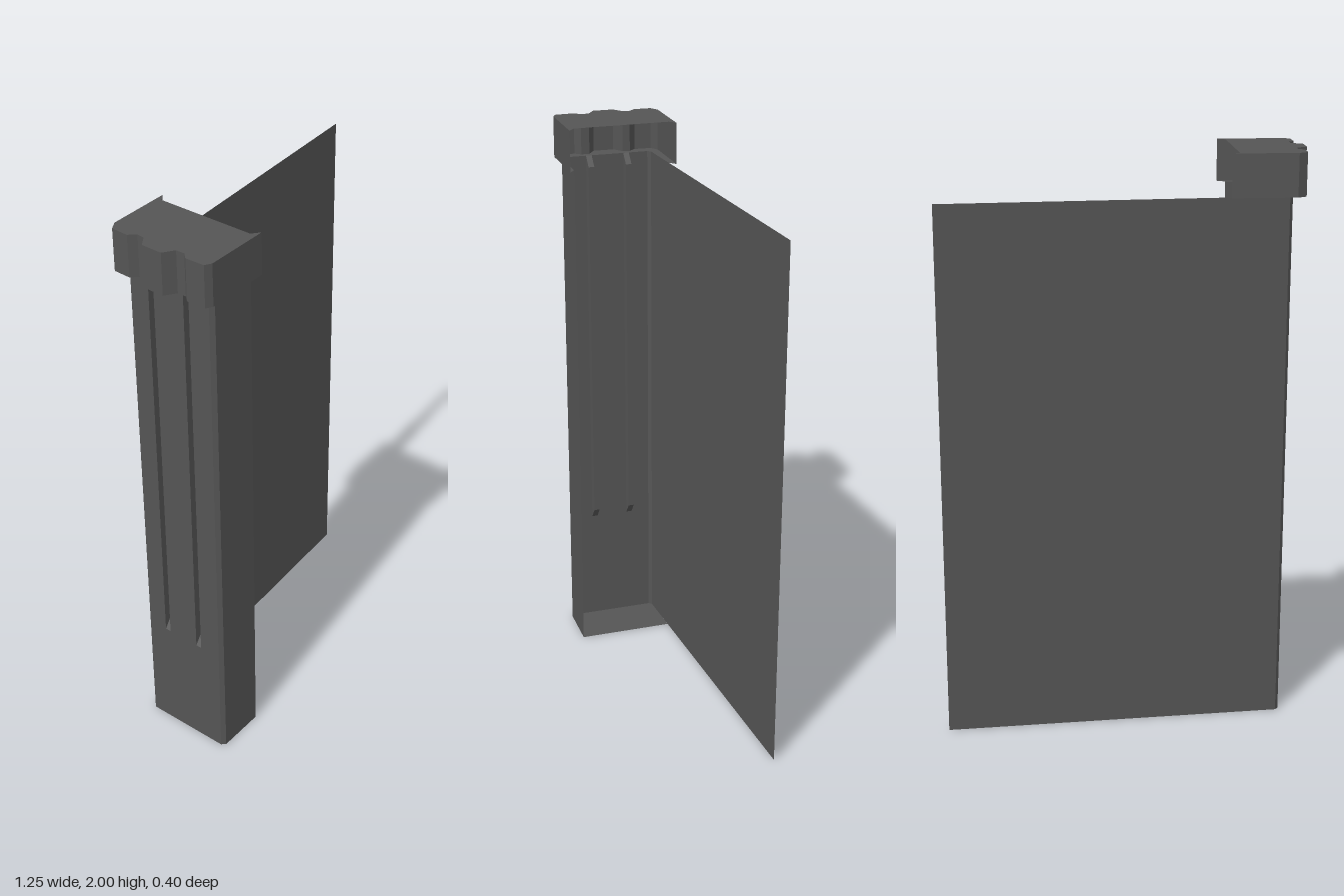
import * as THREE from 'three';

const grey = new THREE.MeshStandardMaterial({ color: 0x555555, side: THREE.DoubleSide });
grey.name = 'dark grey';

const TOP = 1.855, CAP_TOP = 2;

// Thin sheet from a list of four-cornered faces
function quads(name, faces) {
  const pos = [];
  for (const [a, b, c, d] of faces) pos.push(...a, ...b, ...c, ...a, ...c, ...d);
  const geo = new THREE.BufferGeometry();
  geo.setAttribute('position', new THREE.Float32BufferAttribute(pos, 3));
  geo.computeVertexNormals();
  const mesh = new THREE.Mesh(geo, grey);
  mesh.name = name;
  return mesh;
}

// Upright folded sheet along a path of [x, z] points
function wall(name, path, y0, y1) {
  const faces = [];
  for (let i = 0; i + 1 < path.length; i++) {
    const [ax, az] = path[i], [bx, bz] = path[i + 1];
    faces.push([[ax, y0, az], [bx, y0, bz], [bx, y1, bz], [ax, y1, az]]);
  }
  return quads(name, faces);
}

// Flat sheet at height y from an outline of [x, z] points
function plate(name, outline, y) {
  const shape = new THREE.Shape(outline.map(([x, z]) => new THREE.Vector2(x, -z)));
  const geo = new THREE.ShapeGeometry(shape).rotateX(-Math.PI / 2).translate(0, y, 0);
  const mesh = new THREE.Mesh(geo, grey);
  mesh.name = name;
  return mesh;
}

export function createModel() {
  const group = new THREE.Group();
  group.name = 'fluted pilaster';

  // The end wall leans slightly, as the whole piece is turned a little
  const endX = (z) => -0.567 + (0.16 - z) * 0.03;
  const endPoint = (z) => [endX(z), z];
  const endBack = -0.146;
  const frontPath = [[-0.385, 0.179], [-0.555, 0.174], endPoint(0.16)];
  const backCorner = [-0.547, -0.157];

  // Column front and the long, slightly slanted back panel, with chamfered corners
  group.add(wall('columnFront', frontPath, 0, TOP));
  group.add(wall('backPanel', [endPoint(endBack), backCorner, [0.622, -0.2]], 0, TOP));

  // Column floor
  group.add(plate('columnFloor', [...frontPath, endPoint(endBack), backCorner, [-0.375, -0.163]], 0));

  // Column end wall with two pressed-in grooves
  const grooves = [[0.082, 0.061], [-0.056, -0.077]];
  const low = 0.425, depth = 0.03;
  const steps = [[low, 0], [0.465, depth], [1.82, depth], [TOP, 0]];
  let z = 0.16;
  for (const [z0, z1] of grooves) {
    group.add(wall('endWall', [endPoint(z), endPoint(z0)], 0, TOP));
    group.add(wall('endWallBelowGroove', [endPoint(z0), endPoint(z1)], 0, low));
    const faces = [];
    for (let i = 0; i < 3; i++) {
      const [ya, da] = steps[i], [yb, db] = steps[i + 1];
      const p = (zz, y, d) => [endX(zz) + d, y, zz];
      faces.push([p(z0, ya, da), p(z1, ya, da), p(z1, yb, db), p(z0, yb, db)]);
      for (const s of [z0, z1]) {
        faces.push([p(s, ya, 0), p(s, ya, da), p(s, yb, db), p(s, yb, 0)]);
      }
    }
    group.add(quads('groove', faces));
    z = z1;
  }
  group.add(wall('endWall', [endPoint(z), endPoint(endBack)], 0, TOP));

  // Hollow capital: fluted on its outer end, open on its inner side
  const capPath = [
    [-0.349, -0.183], [-0.567, -0.189], [-0.598, -0.172], [-0.602, -0.112],
    [-0.582, -0.088], [-0.585, -0.062], [-0.622, -0.038], [-0.625, 0.035],
    [-0.588, 0.062], [-0.588, 0.092], [-0.608, 0.112], [-0.608, 0.179],
    [-0.586, 0.193], [-0.358, 0.2],
  ];
  group.add(wall('capitalWall', capPath, TOP, CAP_TOP));
  group.add(plate('capitalTop', [...capPath, [-0.384, 0.177], [-0.375, -0.165]], CAP_TOP));

  // Ledge closing the underside between the capital and the column
  group.add(plate('capitalLedge', [...capPath, ...frontPath, endPoint(endBack), backCorner, [-0.375, -0.163]], TOP));

  return group;
}
